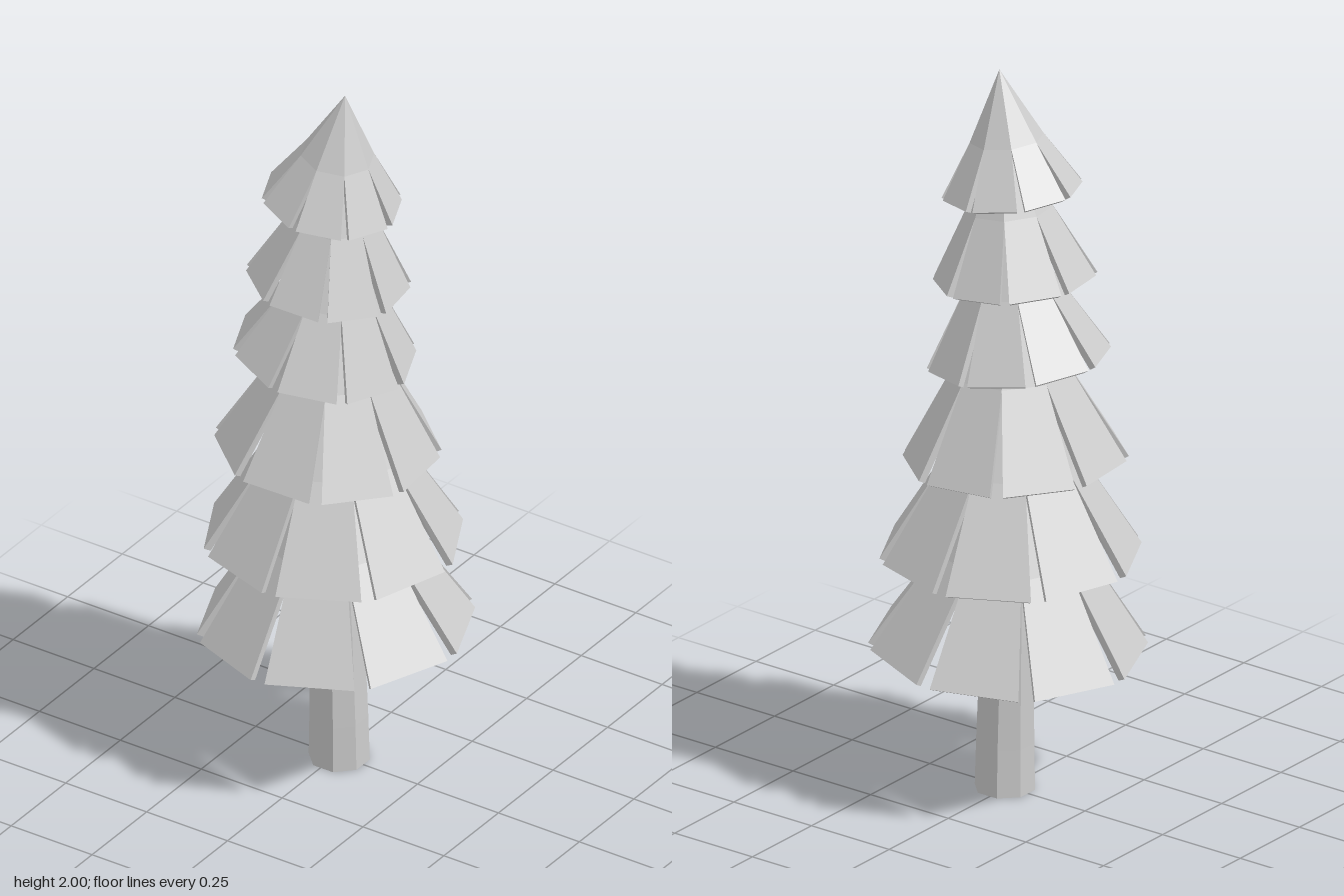
import * as THREE from 'three';

const SIDES = 8;
const STEP = (Math.PI * 2) / SIDES;
const GAP = THREE.MathUtils.degToRad(3.4); // half of the slit between two flaps
const THICK = 0.02;

const polar = (r, y, a) => new THREE.Vector3(r * Math.sin(a), y, r * Math.cos(a));

function facetedMesh(points, name, material) {
  const geometry = new THREE.BufferGeometry().setFromPoints(points);
  geometry.computeVertexNormals();
  const mesh = new THREE.Mesh(geometry, material);
  mesh.name = name;
  return mesh;
}

// Corners of one skin of a flap: apex, bend and hem
function skin(radius, height, mid, inset) {
  const dr = inset * 0.9, dy = inset * 0.45;
  const row = (r, y, gap) => [mid - STEP / 2 + gap, mid + STEP / 2 - gap].map((a) => polar(r - dr, y - dy, a));
  return {
    apex: polar(0, height - inset * 2, 0),
    bend: row(radius * 0.53, height * 0.43, 0),
    hem: row(radius, 0, GAP),
  };
}

// A hollow cone of eight thick flaps, slit from the bend down to the hem
function branchTier({ radius, height, spin }, name, material) {
  const points = [];
  const tri = (a, b, c) => points.push(a, b, c);
  const quad = (a, b, c, d) => { tri(a, b, c); tri(a, c, d); };
  for (let i = 0; i < SIDES; i++) {
    const mid = (i + 0.5) * STEP + THREE.MathUtils.degToRad(spin);
    const o = skin(radius, height, mid, 0);
    const n = skin(radius, height, mid, THICK);
    tri(o.bend[0], o.bend[1], o.apex);
    quad(o.hem[0], o.hem[1], o.bend[1], o.bend[0]);
    tri(n.bend[1], n.bend[0], n.apex);
    quad(n.hem[1], n.hem[0], n.bend[0], n.bend[1]);
    quad(n.hem[0], n.hem[1], o.hem[1], o.hem[0]); // hem edge
    quad(o.hem[1], n.hem[1], n.bend[1], o.bend[1]); // slit edges
    quad(n.hem[0], o.hem[0], o.bend[0], n.bend[0]);
  }
  return facetedMesh(points, name, material);
}

// Tapered trunk lofted through rings that follow the bend of the tree
function trunk(material) {
  const rings = [[0.008, 0, 0.08], [0.007, 0.13, 0.077], [0, 0.42, 0.071], [-0.015, 0.9, 0.05], [-0.03, 1.3, 0.035], [-0.01, 1.7, 0.015]]
    .map(([x, y, r]) => Array.from({ length: SIDES }, (_, i) =>
      polar(r, y, (i + 0.5) * STEP).add(new THREE.Vector3(x, 0, 0))));
  const points = [];
  const last = rings.length - 1;
  for (let i = 0; i < SIDES; i++) {
    const j = (i + 1) % SIDES;
    for (let k = 0; k < last; k++) {
      const a = rings[k], b = rings[k + 1];
      points.push(a[i], a[j], b[j], a[i], b[j], b[i]);
    }
    points.push(new THREE.Vector3(0.008, 0, 0), a0(rings, j), a0(rings, i));
    points.push(new THREE.Vector3(-0.01, 1.7, 0), rings[last][i], rings[last][j]);
  }
  return facetedMesh(points, 'trunk', material);
}

const a0 = (rings, i) => rings[0][i];

export function createModel() {
  const group = new THREE.Group();
  group.name = 'pineTree';
  const material = new THREE.MeshStandardMaterial({ color: 0xcccccc, flatShading: true });
  group.add(trunk(material));

  // Tiers from the lowest up: hem centre, size, turn in degrees and lean in radians
  const tiers = [
    { x: -0.002, y: 0.405, radius: 0.36, height: 0.61, spin: 0, lean: 0.042 },
    { x: -0.01, y: 0.665, radius: 0.34, height: 0.6, spin: 4.6, lean: 0 },
    { x: -0.027, y: 0.935, radius: 0.292, height: 0.56, spin: 27.5, lean: -0.05 },
    { x: -0.037, y: 1.212, radius: 0.238, height: 0.45, spin: 0, lean: -0.125 },
    { x: -0.025, y: 1.438, radius: 0.212, height: 0.44, spin: 30, lean: -0.09 },
    { x: -0.015, y: 1.675, radius: 0.182, height: 0.328, spin: 0, lean: -0.125 },
  ];
  tiers.forEach((tier, i) => {
    const mesh = branchTier(tier, `branchTier${i + 1}`, material);
    mesh.position.set(tier.x, tier.y, 0);
    mesh.rotation.z = tier.lean;
    group.add(mesh);
  });
  return group;
}
